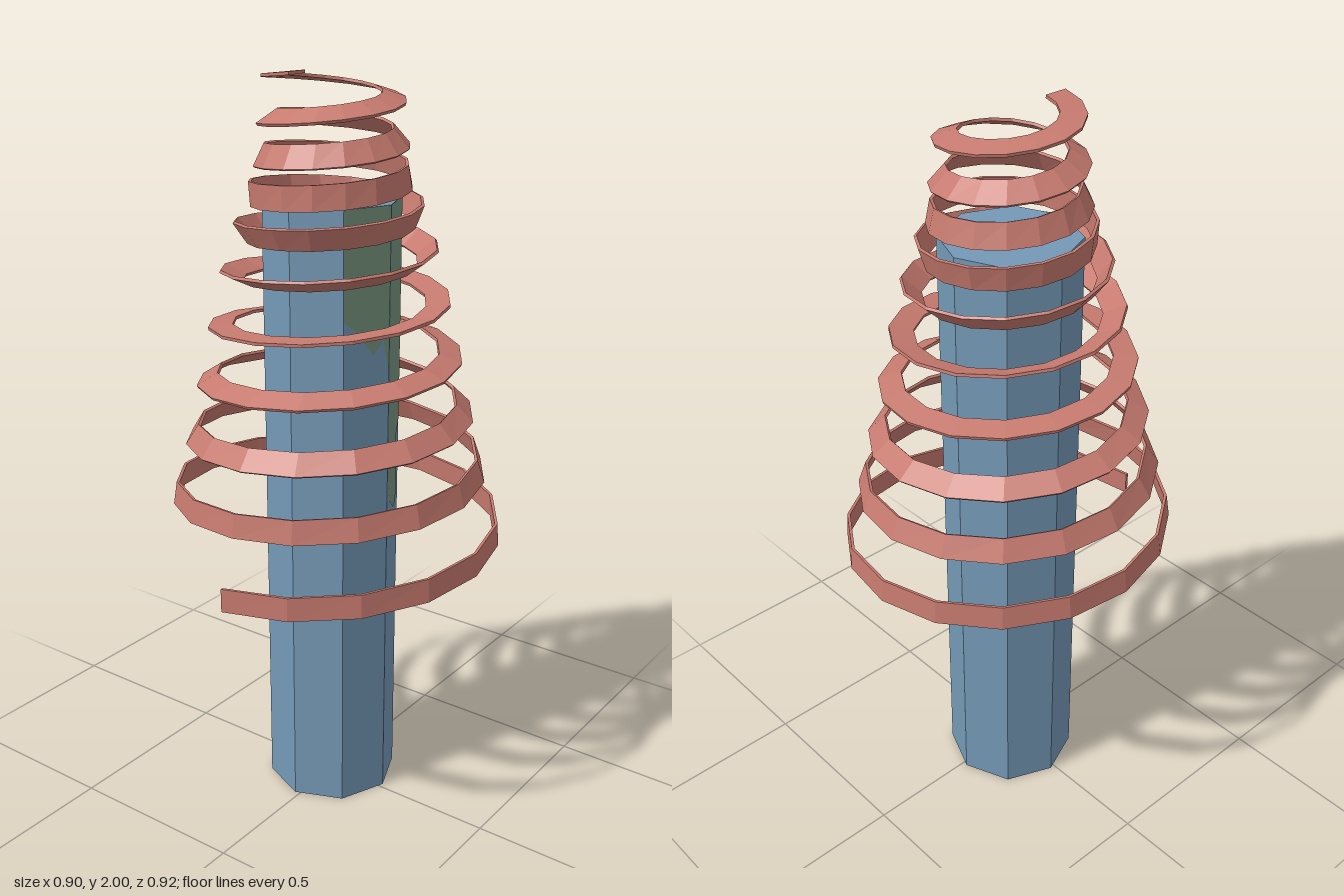
import * as THREE from 'three';

const CENTRE = -0.014;
const POST_RADIUS = 0.18, POST_HEIGHT = 1.68;
const TURNS = 10, STEPS = 16;
const HALF_WIDTH = 0.032, HALF_THICK = 0.004;

// One value per full turn: radius, height and tilt (degrees) of the ribbon
const RADII = [0.47, 0.417, 0.367, 0.325, 0.288, 0.257, 0.23, 0.204, 0.18, 0.16, 0.143];
const HEIGHTS = [0.735, 0.92, 1.08, 1.228, 1.37, 1.502, 1.61, 1.705, 1.8, 1.893, 1.996];
const TILTS = [0, 10, 36, 62, 88, 118, 150, 180, 210, 240, 270];

function sample(values, t) {
  const i = Math.min(Math.floor(t), values.length - 2);
  return THREE.MathUtils.lerp(values[i], values[i + 1], t - i);
}

// Four corners of the ribbon's cross-section after t turns
function section(t) {
  const phi = t * Math.PI * 2, a = THREE.MathUtils.degToRad(sample(TILTS, t));
  const r0 = sample(RADII, t), y0 = sample(HEIGHTS, t);
  return [[1, -1], [1, 1], [-1, 1], [-1, -1]].map(([n, w]) => {
    const r = r0 - Math.sin(a) * w * HALF_WIDTH + Math.cos(a) * n * HALF_THICK;
    const y = y0 + Math.cos(a) * w * HALF_WIDTH + Math.sin(a) * n * HALF_THICK;
    return [Math.sin(phi) * r, y, Math.cos(phi) * r];
  });
}

// Twisting ribbon with flat facets and closed ends
function ribbonGeometry() {
  const positions = [];
  const quad = (a, b, c, d) => positions.push(...a, ...b, ...c, ...a, ...c, ...d);
  const count = TURNS * STEPS;
  let previous = section(0);
  quad(previous[0], previous[1], previous[2], previous[3]);
  for (let i = 1; i <= count; i++) {
    const next = section(i / STEPS);
    for (let k = 0; k < 4; k++) {
      const m = (k + 1) % 4;
      quad(previous[k], next[k], next[m], previous[m]);
    }
    previous = next;
  }
  quad(previous[3], previous[2], previous[1], previous[0]);
  const geometry = new THREE.BufferGeometry();
  geometry.setAttribute('position', new THREE.Float32BufferAttribute(positions, 3));
  geometry.computeVertexNormals();
  return geometry;
}

export function createModel() {
  const model = new THREE.Group();
  const flat = (name, color) => {
    const material = new THREE.MeshStandardMaterial({ color, flatShading: true });
    material.name = name;
    return material;
  };
  const blue = flat('steel blue', 0x7499b6);
  const red = flat('dusty red', 0xc67a6f);
  const green = flat('mossy green', 0x76947e);
  red.side = THREE.DoubleSide;

  const add = (name, geometry, material) => {
    const mesh = new THREE.Mesh(geometry, material);
    mesh.name = name;
    mesh.position.set(CENTRE, 0, CENTRE);
    model.add(mesh);
    return mesh;
  };

  // Eight-sided post
  const post = new THREE.CylinderGeometry(POST_RADIUS, POST_RADIUS, POST_HEIGHT, 8);
  post.translate(0, POST_HEIGHT / 2, 0);
  add('post', post, blue);

  // Coil winding up round the post
  add('coil', ribbonGeometry(), red);

  // Green patches painted on two neighbouring faces of the post
  const apothem = POST_RADIUS * Math.cos(Math.PI / 8) + 0.001;
  const patch = (name, degrees, outline) => {
    const shape = new THREE.Shape(outline.map(([x, y]) => new THREE.Vector2(x, y)));
    const geometry = new THREE.ShapeGeometry(shape);
    geometry.translate(0, 0, apothem);
    add(name, geometry, green).rotation.y = THREE.MathUtils.degToRad(degrees);
  };
  patch('rearPatch', 112.5, [
    [-0.068, 1.68], [-0.068, 0.95], [-0.045, 0.88], [0.01, 0.84], [0.04, 0.85],
    [0.05, 0.98], [0.035, 1.04], [0.068, 1.08], [0.068, 1.68],
  ]);
  patch('frontPatch', 67.5, [
    [-0.068, 1.68], [-0.068, 1.4], [-0.02, 1.36], [0.02, 1.3], [0.05, 1.34],
    [0.068, 1.25], [0.068, 1.68],
  ]);
  return model;
}
